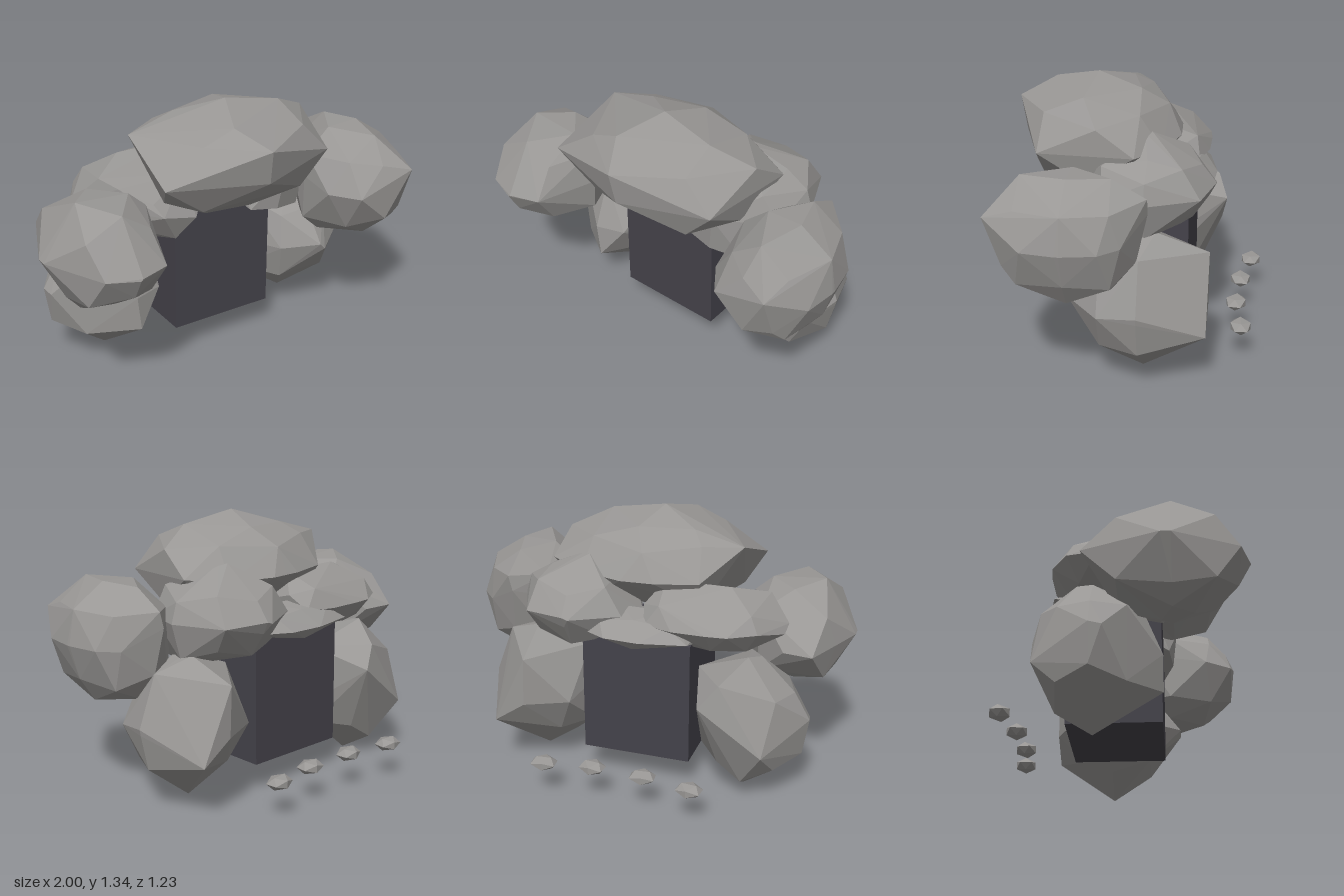
import * as THREE from 'three';
import { ConvexGeometry } from 'three/addons/geometries/ConvexGeometry.js';

const stone = new THREE.MeshStandardMaterial({ name: 'grey stone', color: 0x999795, flatShading: true });
const shade = new THREE.MeshStandardMaterial({ name: 'dark hollow', color: 0x44424a, flatShading: true });

// Faceted boulder from its outlines: front [x, y], side [z, y] and plan [x, z].
// A third number moves a corner off the plane through the centre c.
function boulder(name, c, fullness, front, side, plan) {
  const points = [
    ...front.map(([x, y, z = c[2]]) => new THREE.Vector3(x, y, z)),
    ...side.map(([z, y, x = c[0]]) => new THREE.Vector3(x, y, z)),
    ...plan.map(([x, z, y = c[1]]) => new THREE.Vector3(x, y, z)),
  ];
  // Eight corner points round the boulder out between the outlines
  const box = new THREE.Box3().setFromPoints(points);
  const mid = box.getCenter(new THREE.Vector3());
  const reach = box.getSize(new THREE.Vector3()).multiplyScalar(fullness / 2);
  for (const sx of [-1, 1]) for (const sy of [-1, 1]) for (const sz of [-1, 1]) {
    points.push(new THREE.Vector3(sx, sy, sz).multiply(reach).add(mid));
  }
  const mesh = new THREE.Mesh(new ConvexGeometry(points), stone);
  mesh.name = name;
  return mesh;
}

export function createModel() {
  const model = new THREE.Group();
  model.name = 'rockCave';

  // Dark cave interior
  const hollow = new THREE.Mesh(new THREE.BoxGeometry(0.555, 0.63, 0.465), shade);
  hollow.position.set(0, 0.47, -0.0425);
  hollow.name = 'caveHollow';
  model.add(hollow);

  // Overhanging crown
  model.add(boulder('crownBoulder', [0.01, 1.06, 0.2], 0.56,
    [[-0.14, 0.79, 0.25], [0.12, 0.77, 0.25], [0.45, 0.92], [0.52, 1.08, -0.04], [0.49, 1.2, 0.14],
      [0.29, 1.29, 0.23], [0, 1.34], [0.07, 1.28, -0.02], [-0.2, 1.27, 0.05], [-0.45, 1.2, 0.06],
      [-0.48, 1.06, 0.45], [-0.4, 0.93, 0.3]],
    [[0.6, 1.2, 0], [0.43, 1.28, -0.1], [-0.15, 1.19], [-0.21, 1.07], [0.57, 1.03], [0.45, 0.91]],
    [[0.45, 0.43], [0.46, 0.3], [0.33, -0.15], [0.1, -0.22], [-0.07, -0.21], [-0.28, -0.15]]));

  // Upper side boulders
  model.add(boulder('leftUpperBoulder', [0.74, 0.8, 0.22], 0.59,
    [[0.62, 1.07], [0.8, 1.08], [0.97, 0.97], [1, 0.8], [0.95, 0.63], [0.87, 0.51], [0.72, 0.48],
      [0.58, 0.51], [0.48, 0.6], [0.48, 0.83], [0.49, 0.95], [0.72, 0.945, 0.54], [0.87, 0.68, 0.51], [0.65, 0.69, 0.53]],
    [[0.44, 1.07], [0.03, 1.07], [-0.13, 0.98], [-0.08, 0.67], [0.03, 0.53], [0.23, 0.48], [0.4, 0.52],
      [0.56, 0.66], [0.59, 0.91, 0.87]],
    [[0.72, -0.13, 0.9], [0.89, -0.03], [0.97, 0.06], [1, 0.24], [0.98, 0.4], [0.58, 0.56],
      [0.48, 0.42], [0.5, 0.1]]));
  model.add(boulder('rightUpperBoulder', [-0.7, 0.76, 0.25], 0.58,
    [[-0.83, 1.02], [-0.56, 1], [-0.47, 0.92], [-0.44, 0.76], [-0.45, 0.6], [-0.6, 0.51], [-0.83, 0.48],
      [-0.9, 0.56], [-1, 0.76], [-0.87, 0.89]],
    [[0.61, 0.75], [0.55, 0.64], [0.35, 0.51], [0.2, 0.48], [-0.12, 0.75], [0.1, 1], [0.45, 1]],
    [[-0.85, -0.16], [-0.7, -0.1], [-0.54, 0.02], [-0.48, 0.27], [-0.54, 0.56], [-0.69, 0.61],
      [-0.85, 0.56], [-0.92, 0.38], [-1, 0.2], [-0.93, 0.03]]));

  // Lower side boulders, each standing on a pointed base
  model.add(boulder('leftLowerBoulder', [0.57, 0.4, -0.09], 0.5,
    [[0.31, 0.65], [0.55, 0.745], [0.75, 0.68], [0.845, 0.43], [0.8, 0.22], [0.56, 0.03], [0.4, 0.14],
      [0.3, 0.22], [0.29, 0.45]],
    [[0.27, 0.43], [0.14, 0.6], [0, 0.72], [-0.15, 0.745], [-0.4, 0.65, 0.55]],
    [[0.56, -0.4], [0.72, -0.4, 0.29], [0.84, -0.09], [0.8, 0.1], [0.6, 0.27], [0.4, 0.15], [0.29, -0.05], [0.35, -0.3]]));
  model.add(boulder('rightLowerBoulder', [-0.55, 0.4, -0.12], 0.5,
    [[-0.53, 0], [-0.82, 0.22], [-0.85, 0.41], [-0.77, 0.55], [-0.6, 0.72], [-0.28, 0.62], [-0.28, 0.32], [-0.3, 0.2]],
    [[-0.29, 0.1], [-0.43, 0.54, -0.36], [-0.38, 0.65, -0.45], [-0.2, 0.74], [0.1, 0.65, -0.5],
      [0.2, 0.4, -0.5], [0.2, 0.22, -0.48]],
    [[-0.67, -0.39, 0.3], [-0.82, -0.15], [-0.84, -0.06], [-0.35, 0.15], [-0.28, -0.1]]));

  // Roof stones behind the crown
  model.add(boulder('leftRoofStone', [0.33, 0.9, -0.1], 0.56,
    [[0.62, 1], [0.5, 1.07], [0.3, 1.14], [0.02, 0.87], [0.18, 0.74], [0.45, 0.68], [0.6, 0.72],
      [0.15, 0.72, 0.22], [0.3, 0.7, 0.24], [0.46, 0.67, 0.18]],
    [[-0.07, 1.14], [-0.34, 1], [-0.41, 0.91], [-0.38, 0.85], [-0.3, 0.73], [0.26, 0.9]],
    [[0.3, -0.41], [0.54, -0.35], [0.65, -0.1], [0.6, 0.1], [0.07, -0.28], [0.1, 0.1]]));
  model.add(boulder('rightRoofStone', [-0.37, 0.88, -0.1], 0.5,
    [[-0.6, 1, 0.03], [-0.43, 1.05], [-0.1, 1.05], [-0.7, 0.84], [-0.43, 0.69, 0.1], [-0.28, 0.67, 0.2],
      [-0.05, 0.79], [-0.18, 0.77, 0.23], [-0.02, 0.95, -0.2], [-0.12, 0.98, -0.28], [-0.56, 0.96, -0.22]],
    [[-0.34, 0.88], [-0.25, 0.77], [0.25, 0.82]],
    [[-0.71, -0.05], [-0.6, -0.25], [-0.47, -0.33], [-0.2, -0.34], [-0.05, -0.3], [0, 0.05], [-0.4, 0.2]]));
  model.add(boulder('rearRoofSlab', [0, 0.82, -0.18], 0.58,
    [[-0.3, 0.78], [0.28, 0.78], [0.1, 0.92], [-0.15, 0.92]],
    [[-0.33, 0.76], [-0.3, 0.9], [0, 0.76]],
    [[-0.28, -0.34], [-0.05, -0.39], [0.13, -0.38], [0.28, -0.3], [0.3, 0], [-0.3, 0]]));

  // Row of pebbles behind the cave
  [[-0.37, -0.57], [-0.12, -0.525], [0.145, -0.515], [0.39, -0.55]].forEach(([x, z], i) => {
    const pebble = new THREE.Mesh(new THREE.IcosahedronGeometry(1, 0), stone);
    pebble.scale.set(0.072, 0.036, 0.058);
    pebble.rotation.y = i % 2 ? 0.1 : -0.1;
    pebble.position.set(x, 0.18, z);
    pebble.name = `pebble${i + 1}`;
    model.add(pebble);
  });

  return model;
}
